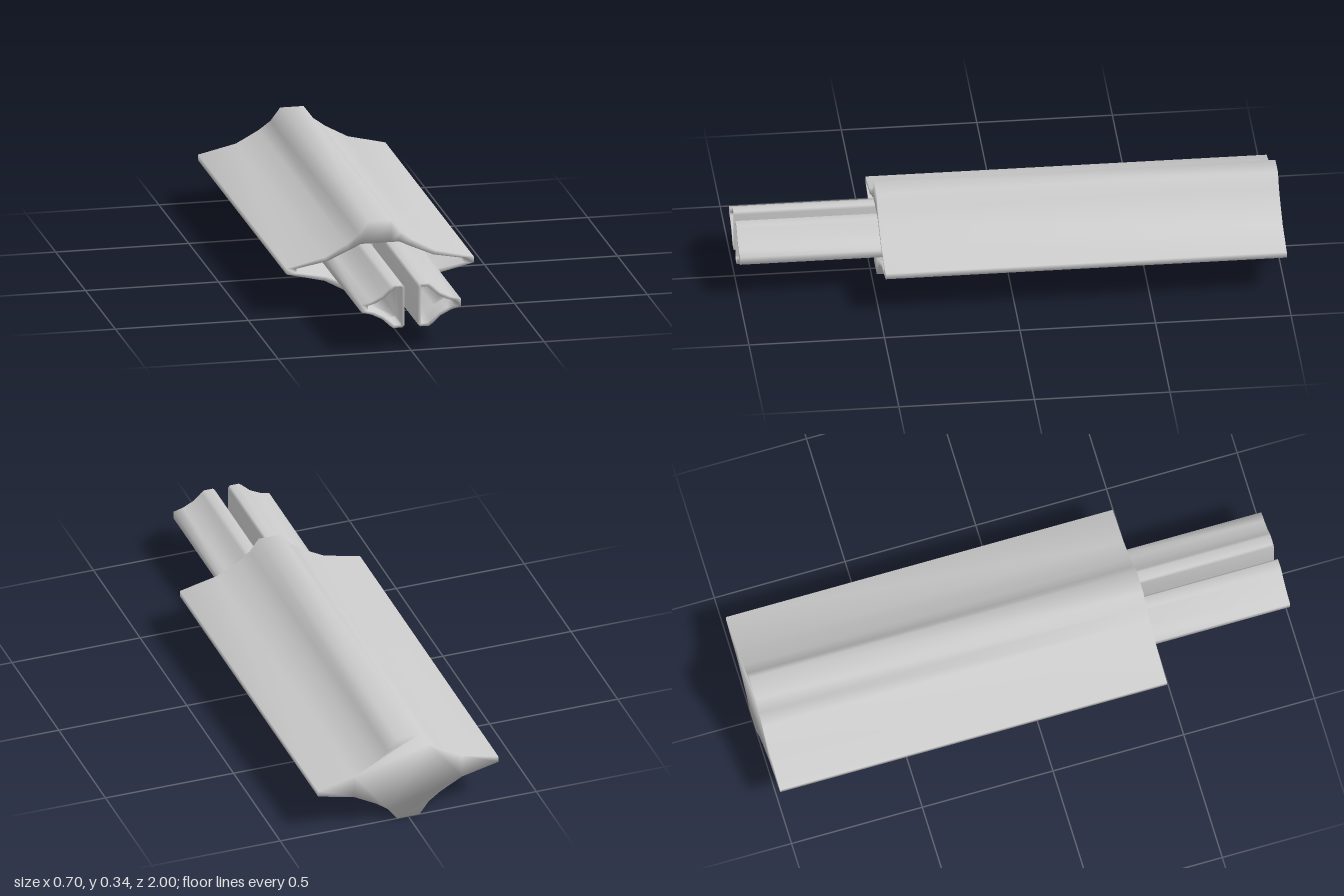
import * as THREE from 'three';

const MID = 0.1725; // height of the horizontal symmetry plane

// Complete an upper half outline (right to left) by mirroring it below the mid plane; runs anticlockwise from the front
const closeBelow = (upper) => [...upper, ...upper.map(([x, y]) => [x, 2 * MID - y]).reverse()];

// Complete a right-hand quarter (tip to ridge) into an upper half, then the full outline
const closeQuarter = (q) => closeBelow([...q, ...q.map(([x, y]) => [-x, y]).reverse()]);

// Mirror an outline to the other side, keeping its direction
const mirrorX = (pts) => pts.map(([x, y]) => [-x, y]).reverse();

// Skin consecutive [outline, z] rings with shared vertices, closing the first and last ring
function loft(rings) {
  const n = rings[0][0].length;
  const pos = [], idx = [];
  for (const [pts, z] of rings) for (const [x, y] of pts) pos.push(x, y, z);
  for (let r = 0; r < rings.length - 1; r++) {
    for (let i = 0; i < n; i++) {
      const j = (i + 1) % n;
      const a = r * n + i, b = r * n + j, c = b + n, d = a + n;
      idx.push(a, b, c, a, c, d);
    }
  }
  const cap = (r, flip) => {
    const v = rings[r][0].map(([x, y]) => new THREE.Vector2(x, y));
    for (const [a, b, c] of THREE.ShapeUtils.triangulateShape(v, [])) {
      const o = r * n;
      if (flip) idx.push(o + a, o + c, o + b);
      else idx.push(o + a, o + b, o + c);
    }
  };
  cap(0, true);
  cap(rings.length - 1, false);
  const geo = new THREE.BufferGeometry();
  geo.setAttribute('position', new THREE.Float32BufferAttribute(pos, 3));
  geo.setIndex(idx);
  geo.computeVertexNormals();
  return geo;
}

export function createModel() {
  const model = new THREE.Group();
  const material = new THREE.MeshStandardMaterial({ color: 0xcccccc });
  const add = (name, geometry) => {
    const mesh = new THREE.Mesh(geometry, material);
    mesh.name = name;
    model.add(mesh);
  };

  // Winged sleeve with a recessed front opening
  const sleeve = closeQuarter([[0.352, 0.184], [0.21, 0.217], [0.125, 0.263], [0.08, 0.296], [0.044, 0.344]]);
  const opening = closeQuarter([[0.315, 0.181], [0.2, 0.202], [0.118, 0.238], [0.072, 0.26], [0.04, 0.26]]);
  add('sleeve', loft([[sleeve, -1], [sleeve, 0.48], [opening, 0.48], [opening, 0.25]]));

  // Pair of prongs with hollow ends, seated in the sleeve
  const prong = closeBelow([[0.187, 0.187], [0.15, 0.197], [0.11, 0.217], [0.08, 0.245],
    [0.068, 0.254], [0.033, 0.254], [0.025, 0.245]]);
  const hollow = closeBelow([[0.163, 0.182], [0.135, 0.19], [0.105, 0.206], [0.075, 0.231],
    [0.06, 0.243], [0.041, 0.243], [0.036, 0.237]]);
  for (const [name, side] of [['leftProng', (p) => p], ['rightProng', mirrorX]]) {
    add(name, loft([[side(prong), 0.24], [side(prong), 1], [side(hollow), 1], [side(hollow), 0.9]]));
  }

  return model;
}
